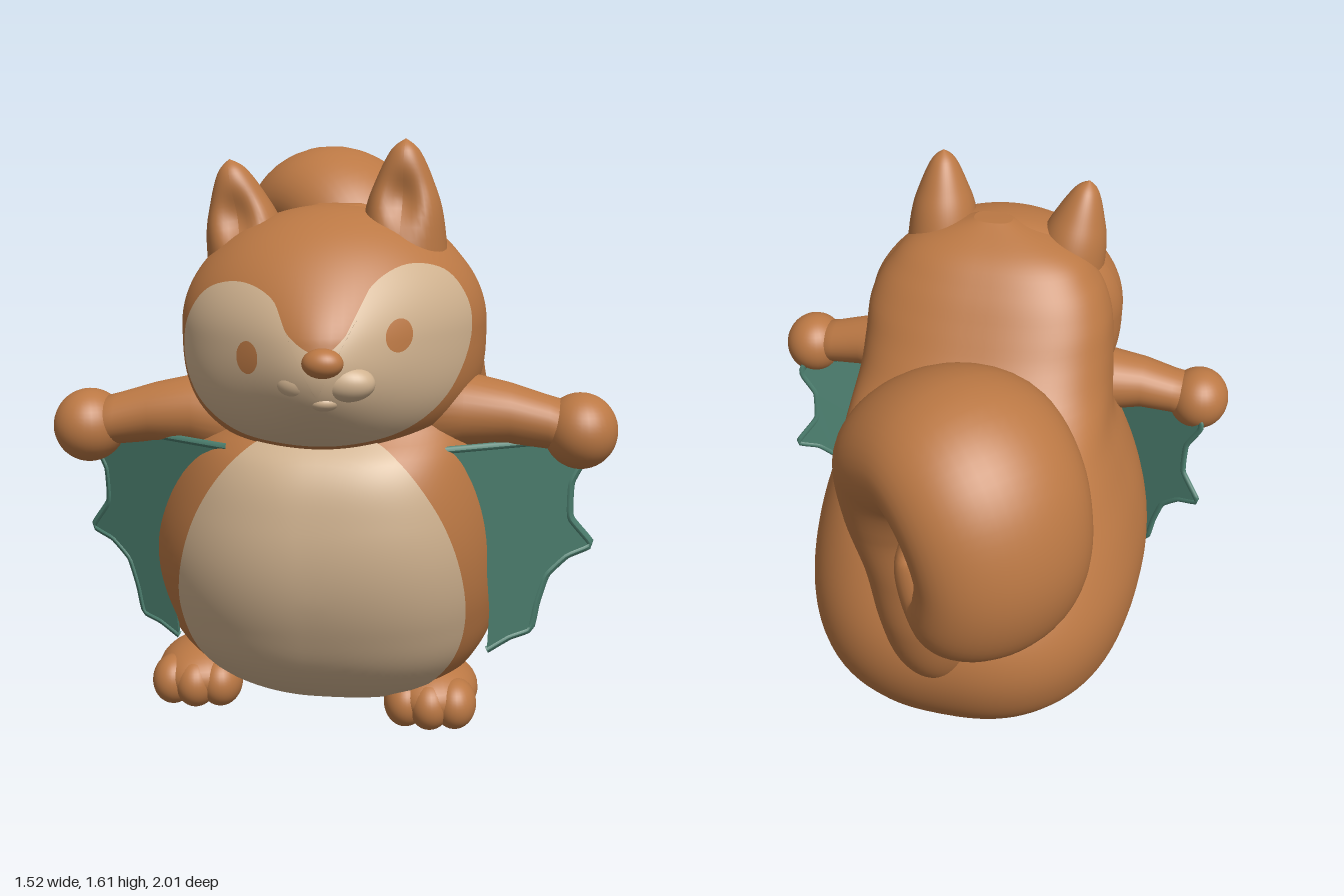
import * as THREE from 'three';

const V2 = (x, y) => new THREE.Vector2(x, y);
const V3 = (x, y, z) => new THREE.Vector3(x, y, z);

const fur = new THREE.MeshStandardMaterial({ name: 'fur brown', color: 0xbb7844 });
const cream = new THREE.MeshStandardMaterial({ name: 'cream', color: 0xd0b28f });
const teal = new THREE.MeshStandardMaterial({ name: 'wing teal', color: 0x4c7f6f });

// Closed skin over a list of rings with equal point counts
function loft(rings) {
  const n = rings[0].length, pos = [], index = [];
  rings.forEach(r => r.forEach(p => pos.push(p.x, p.y, p.z)));
  for (let i = 0; i < rings.length - 1; i++) {
    for (let j = 0; j < n; j++) {
      const a = i * n + j, b = i * n + (j + 1) % n;
      index.push(a, b, a + n, b, b + n, a + n);
    }
  }
  [0, rings.length - 1].forEach((ri, end) => {
    const c = V3(0, 0, 0);
    rings[ri].forEach(p => c.addScaledVector(p, 1 / n));
    const k = pos.length / 3;
    pos.push(c.x, c.y, c.z);
    for (let j = 0; j < n; j++) {
      const a = ri * n + j, b = ri * n + (j + 1) % n;
      if (end) index.push(a, b, k); else index.push(b, a, k);
    }
  });
  // Turn the skin outward if its signed volume is negative
  const at = i => V3(0, 0, 0).fromArray(pos, i * 3);
  let vol = 0;
  for (let i = 0; i < index.length; i += 3) vol += at(index[i]).dot(at(index[i + 1]).cross(at(index[i + 2])));
  if (vol < 0) index.reverse();
  return surface(pos, index);
}

function surface(pos, index) {
  const g = new THREE.BufferGeometry();
  g.setAttribute('position', new THREE.Float32BufferAttribute(pos, 3));
  g.setIndex(index);
  g.computeVertexNormals();
  return g;
}

// Smooth lookup in rows whose first number is the key
function table(rows) {
  const interp = new THREE.CubicInterpolant(rows.map(r => r[0]), rows.flatMap(r => r.slice(1)), rows[0].length - 1);
  return t => Array.from(interp.evaluate(t));
}

// Body sections: height, back z, front z, half width, centre x
const bodyAt = table([
  [0.022, 0.1, 0.2, 0.05, -0.03], [0.035, -0.06, 0.36, 0.19, -0.03], [0.06, -0.2, 0.48, 0.29, -0.03],
  [0.1, -0.32, 0.58, 0.37, -0.03], [0.2, -0.43, 0.71, 0.46, -0.04], [0.35, -0.51, 0.8, 0.51, -0.045],
  [0.5, -0.52, 0.845, 0.52, -0.045], [0.65, -0.46, 0.845, 0.495, -0.035], [0.8, -0.34, 0.8, 0.445, -0.02],
  [0.9, -0.19, 0.7, 0.415, -0.005], [1.0, 0, 0.68, 0.4, 0], [1.1, 0.1, 0.68, 0.392, 0.005], [1.2, 0.17, 0.67, 0.38, 0.01],
  [1.3, 0.24, 0.65, 0.33, 0.01], [1.38, 0.32, 0.61, 0.24, 0.01], [1.44, 0.44, 0.52, 0.06, 0.02],
]);
// Fullness of the section: the chest turns a little to the left, so that side is fuller
const LEFT = 2.9, RIGHT = 2.1, BACK = 2.5;
const bodyFront = (x, y) => {
  const [zb, zf, w, xc] = bodyAt(y), pow = x > xc ? LEFT : RIGHT;
  const e = Math.min(1, Math.abs(x - xc) / w);
  return (zb + zf) / 2 + (zf - zb) / 2 * Math.pow(1 - Math.pow(e, pow), 1 / pow);
};

function bodyGeometry() {
  const rings = [], bend = (v, pow) => Math.sign(v) * Math.pow(Math.abs(v), 2 / pow);
  for (let i = 0; i <= 80; i++) {
    const y = 0.731 - 0.709 * Math.cos(Math.PI * i / 80);
    const [zb, zf, w, xc] = bodyAt(y);
    rings.push(Array.from({ length: 96 }, (_, j) => {
      const a = j / 96 * Math.PI * 2, pow = j < 24 ? LEFT : j < 48 ? RIGHT : BACK;
      return V3(xc + w * bend(Math.cos(a), pow), y, (zb + zf) / 2 + (zf - zb) / 2 * bend(Math.sin(a), pow));
    }));
  }
  return loft(rings);
}

// Head: an egg with a fuller chin and a soft pointed snout, turned slightly to its left
const HX = 0.01, HY = 1.13, HZ = 0.5, HW = 0.4, UP = 0.31, DOWN = 0.36, DEPTH = 0.36;
const snout = (x, y) => 0.1 * Math.exp(-((x - 0.045) ** 2 + (y - 1.06) ** 2) / 0.034);
const turn = x => -0.1 * (x - 0.03);
const headFront = (x, y) => {
  const ey = y > HY ? ((y - HY) / UP) ** 2 : ((HY - y) / DOWN) ** 3;
  return HZ + DEPTH * Math.sqrt(Math.max(0, 1 - ((x - HX) / HW) ** 2 - ey)) + snout(x, y) + turn(x);
};

function headGeometry() {
  const g = new THREE.SphereGeometry(1, 96, 64), p = g.attributes.position;
  for (let i = 0; i < p.count; i++) {
    const X = p.getX(i), Y = p.getY(i), Z = p.getZ(i);
    const x = HX + HW * X;
    const y = HY + (Y > 0 ? UP * Y : -DOWN * Math.pow(-Y, 2 / 3));
    p.setXYZ(i, x, y, HZ + (Z > 0 ? DEPTH : 0.24) * Z + snout(x, y) * THREE.MathUtils.smoothstep(Z, 0, 0.3) + turn(x));
  }
  g.computeVertexNormals();
  return g;
}

// Thin painted patch: anticlockwise outline laid over a front surface
function patch(outline, cx, cy, height, lift) {
  const n = 120, rings = 24, pos = [cx, cy, height(cx, cy) + lift], index = [];
  const edge = new THREE.CatmullRomCurve3(outline.map(([x, y]) => V3(x, y, 0)), true).getPoints(n);
  for (let k = 1; k <= rings; k++) {
    const t = Math.sin(k / rings * Math.PI / 2);
    for (let j = 0; j < n; j++) {
      const x = cx + (edge[j].x - cx) * t, y = cy + (edge[j].y - cy) * t;
      pos.push(x, y, height(x, y) + lift);
      const a = 1 + (k - 1) * n + j, b = 1 + (k - 1) * n + (j + 1) % n;
      if (k === 1) index.push(0, a, b);
      if (k < rings) index.push(a, a + n, b, b, a + n, b + n);
    }
  }
  return surface(pos, index);
}

// Curled tail: flattened tube, rows of x, y, z, thickness, half width
function tailGeometry() {
  const rows = [
    [-0.03, 0.36, -0.33, 0.09, 0.1], [-0.03, 0.52, -0.45, 0.11, 0.125], [-0.025, 0.7, -0.51, 0.12, 0.14],
    [-0.02, 0.9, -0.525, 0.13, 0.165], [-0.01, 1.1, -0.53, 0.15, 0.21], [-0.05, 1.3, -0.575, 0.185, 0.25],
    [-0.17, 1.39, -0.68, 0.19, 0.26], [-0.265, 1.32, -0.765, 0.185, 0.255], [-0.31, 1.17, -0.805, 0.165, 0.24],
    [-0.28, 1.03, -0.78, 0.155, 0.23], [-0.2, 0.985, -0.71, 0.135, 0.19], [-0.14, 1.08, -0.66, 0.1, 0.16],
    [-0.17, 1.15, -0.69, 0.04, 0.07],
  ];
  const at = table(rows.map((r, i) => [i, ...r]));
  const side = V3(0.67, 0, -0.74), rings = [], last = rows.length - 1;
  for (let i = 0; i <= 96; i++) {
    const t = i / 96 * last, [x, y, z, r, w] = at(t);
    const tangent = V3(...at(Math.min(last, t + 0.02))).sub(V3(...at(Math.max(0, t - 0.02))));
    const normal = tangent.cross(side).normalize();
    rings.push(Array.from({ length: 48 }, (_, j) => {
      const q = j / 48 * Math.PI * 2;
      return V3(x, y, z).addScaledVector(normal, r * Math.cos(q)).addScaledVector(side, w * Math.sin(q));
    }));
  }
  return loft(rings);
}

// Ear: rounded cone with a hollowed front, tip leaning forward
function earGeometry() {
  const profile = new THREE.SplineCurve([V2(0.125, -0.17), V2(0.103, 0), V2(0.074, 0.09), V2(0.037, 0.165), V2(0, 0.195)]);
  const g = new THREE.LatheGeometry(profile.getPoints(24), 48), p = g.attributes.position;
  for (let i = 0; i < p.count; i++) {
    const x = p.getX(i), y = p.getY(i), z = p.getZ(i);
    const dent = z > 0 ? 0.05 * Math.exp(-((x / 0.05) ** 2) - ((y - 0.04) / 0.07) ** 2) : 0;
    p.setZ(i, z * 1.1 - dent + 0.12 * y);
  }
  g.computeVertexNormals();
  return g;
}

// Wing membrane, slanting back as it spreads outward
const wingZ = (x, y) => 0.675 - 0.53 * (x - 0.28) - 0.1 * (0.82 - y);
function slant(g, side) {
  const p = g.attributes.position;
  for (let i = 0; i < p.count; i++) {
    const x = p.getX(i), y = p.getY(i);
    p.setXYZ(i, side * x, y, p.getZ(i) + wingZ(x, y));
  }
  if (side < 0) {
    const idx = g.index ? Array.from(g.index.array) : Array.from({ length: p.count }, (_, i) => i);
    g.setIndex(idx.reverse());
  }
  g.computeVertexNormals();
  return g;
}

export function createModel() {
  const model = new THREE.Group();
  const add = (name, geometry, material) => {
    const m = new THREE.Mesh(geometry, material);
    m.name = name;
    model.add(m);
    return m;
  };
  const ball = (name, material, x, y, z, rx, ry, rz) => {
    const m = add(name, new THREE.SphereGeometry(1, 32, 24), material);
    m.position.set(x, y, z);
    m.scale.set(rx, ry, rz);
  };

  add('body', bodyGeometry(), fur);
  add('head', headGeometry(), fur);
  add('tail', tailGeometry(), fur);

  // Belly and face markings
  add('belly', patch([[0, 0.055], [0.14, 0.075], [0.25, 0.125], [0.34, 0.23], [0.375, 0.36], [0.36, 0.53], [0.305, 0.68],
    [0.21, 0.81], [0.12, 0.865], [-0.12, 0.865], [-0.21, 0.81], [-0.31, 0.68], [-0.37, 0.53], [-0.395, 0.36],
    [-0.355, 0.22], [-0.27, 0.125], [-0.15, 0.075]], 0, 0.45, bodyFront, 0.01), cream);
  add('faceMask', patch([[0.045, 1.11], [-0.04, 1.15], [-0.09, 1.23], [-0.18, 1.265], [-0.28, 1.24], [-0.345, 1.15],
    [-0.355, 1.05], [-0.31, 0.95], [-0.21, 0.88], [-0.08, 0.858], [0.08, 0.858], [0.22, 0.89], [0.32, 0.97],
    [0.375, 1.1], [0.37, 1.2], [0.31, 1.285], [0.22, 1.305], [0.145, 1.26], [0.115, 1.18]], 0.03, 1.0, headFront, 0.01), cream);
  [[-0.15, 1.09], [0.215, 1.143]].forEach(([x, y]) => {
    const oval = Array.from({ length: 12 }, (_, i) => [x + 0.03 * Math.cos(i * Math.PI / 6), y + 0.04 * Math.sin(i * Math.PI / 6)]);
    add('eye', patch(oval, x, y, headFront, 0.016), fur);
  });
  ball('nose', fur, 0.045, 1.09, 0.96, 0.05, 0.036, 0.04);
  [-0.01, 0.095].forEach(x => ball('muzzlePuff', cream, x, 1.035, 0.91, 0.07, 0.045, 0.048));
  ball('lowerLip', cream, 0.04, 0.99, 0.905, 0.045, 0.025, 0.045);

  // Ears
  [[-0.225, 1.365, 0.54, 0.18], [0.195, 1.415, 0.54, -0.03]].forEach(([x, y, z, roll]) => {
    const ear = add('ear', earGeometry(), fur);
    ear.position.set(x, y, z);
    ear.rotation.z = roll;
  });

  // Arms, hands and wings
  const spread = [[0.25, 0.82], [0.66, 0.82], [0.685, 0.78], [0.645, 0.7], [0.645, 0.6], [0.705, 0.515], [0.64, 0.49],
    [0.585, 0.44], [0.56, 0.36], [0.545, 0.285], [0.49, 0.27], [0.43, 0.24], [0.435, 0.36], [0.425, 0.5], [0.36, 0.66]];
  const shape = new THREE.Shape(spread.map(([x, y]) => V2(x, y)));
  const rim = new THREE.CatmullRomCurve3(spread.slice(0, 12).map(([x, y]) => V3(x, y, 0.008)), false, 'catmullrom', 0.2);
  [-1, 1].forEach(side => {
    const lift = side > 0 ? 0.01 : -0.01;
    const rings = [[0.2, 0.87, 0.5, 0.14], [0.36, 0.895, 0.53, 0.1], [0.48, 0.89, 0.545, 0.08], [0.58, 0.87, 0.55, 0.07], [0.66, 0.85, 0.56, 0.07]]
      .map(([x, y, z, r]) => Array.from({ length: 32 }, (_, j) => {
        const a = j / 32 * Math.PI * 2;
        return V3(side * x, y + lift + r * Math.sin(a), z + r * 1.15 * Math.cos(a));
      }));
    add('arm', loft(rings), fur);
    ball('hand', fur, side * 0.663, 0.85 + lift, 0.555, 0.097, 0.1, 0.107);
    add('wing', slant(new THREE.ExtrudeGeometry(shape, { depth: 0.016, bevelEnabled: false }), side), teal);
    add('wingRim', slant(new THREE.TubeGeometry(rim, 90, 0.011, 8), side), teal);
  });

  // Feet with three soft toes each
  [[-0.385, 0.115, 0.44], [0.275, 0.088, 0.45]].forEach(([x, y, z]) => {
    ball('foot', fur, x, y, z, 0.128, 0.086, 0.165);
    [-1, 0, 1].forEach(t => ball('toe', fur, x + t * 0.068, y - 0.012, z + 0.1 - Math.abs(t) * 0.015, 0.06, 0.07, 0.075));
  });

  return model;
}
